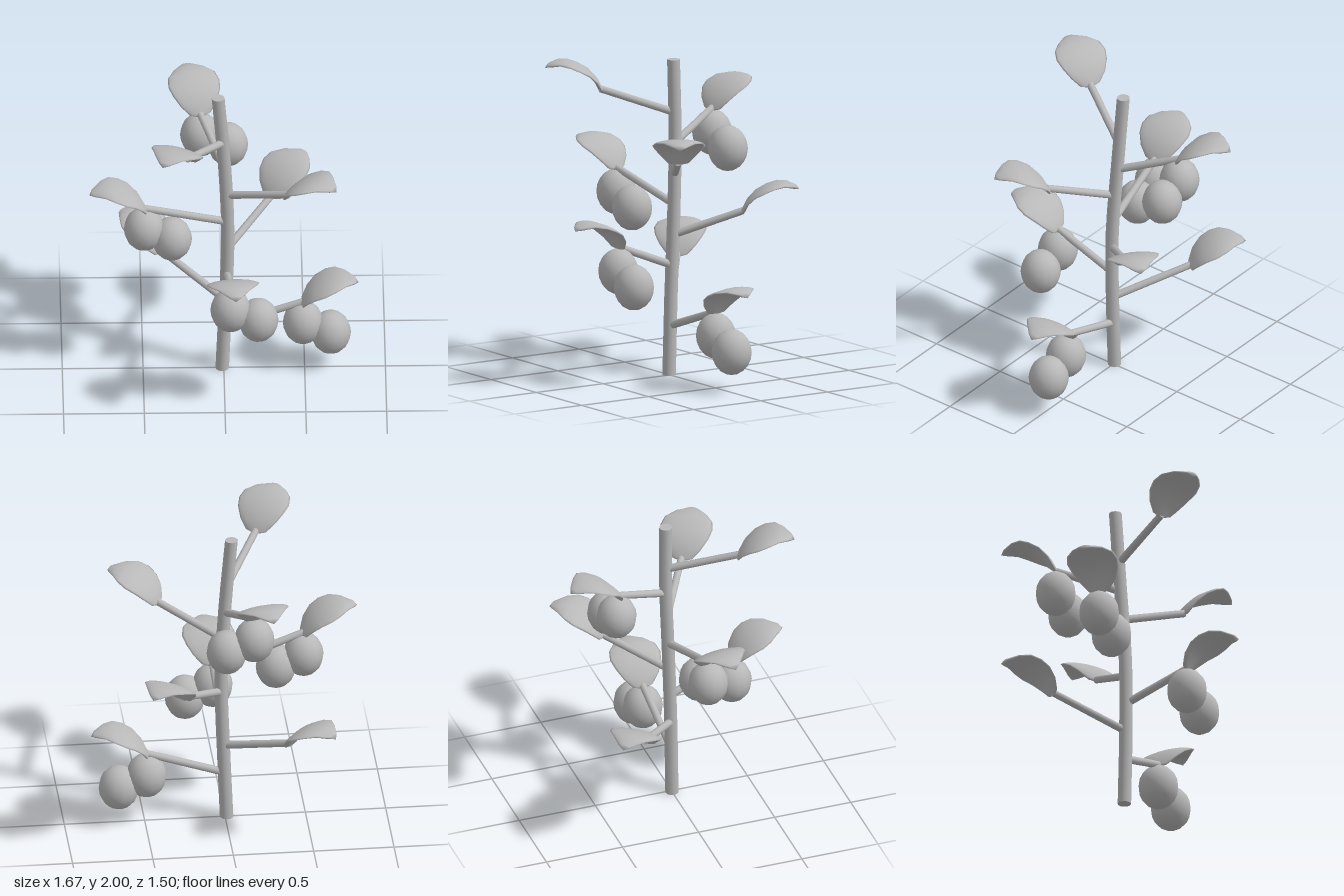
import * as THREE from 'three';
import { mergeVertices } from 'three/addons/utils/BufferGeometryUtils.js';

const grey = new THREE.MeshStandardMaterial({ color: 0xb8b8b8 });
grey.name = 'plainGrey';

// Gently swaying centre line of the stem
const stemLine = new THREE.CatmullRomCurve3([
  [-0.01, 0, 0], [0.01, 0.5, 0], [0.025, 1, -0.01], [0.005, 1.5, -0.035], [-0.035, 1.98, -0.05],
].map((p) => new THREE.Vector3(...p)));

// Point of the stem line at a height
function stemPoint(y) {
  return stemLine.getPoint(THREE.MathUtils.clamp(y / 1.98, 0, 1));
}

function add(parent, name, geometry) {
  const mesh = new THREE.Mesh(geometry, grey);
  mesh.name = name;
  parent.add(mesh);
  return mesh;
}

// Upright cylinder whose rings follow the stem line
function stemGeometry() {
  const geo = new THREE.CylinderGeometry(0.04, 0.042, 1.98, 12, 12);
  const pos = geo.attributes.position;
  for (let i = 0; i < pos.count; i++) {
    const y = pos.getY(i) + 0.99;
    const c = stemPoint(y);
    pos.setXYZ(i, pos.getX(i) + c.x, y, pos.getZ(i) + c.z);
  }
  return geo;
}

// Leaf sections from base to tip: distance out, height, half width
const leafSections = [
  [-0.01, -0.02, 0], [0, 0, 0.065], [0.03, 0.06, 0.115], [0.08, 0.115, 0.15], [0.14, 0.15, 0.165],
  [0.2, 0.172, 0.15], [0.26, 0.174, 0.1], [0.32, 0.155, 0.04], [0.345, 0.14, 0],
];

// Sphere rows reshaped into an arched, slightly domed leaf
function leafGeometry() {
  const rows = leafSections.length - 1;
  let geo = new THREE.SphereGeometry(1, 16, rows);
  const pos = geo.attributes.position;
  for (let i = 0; i < pos.count; i++) {
    const k = Math.floor(i / 17);
    const [u, y, w] = leafSections[k];
    const a = leafSections[Math.max(k - 1, 0)];
    const b = leafSections[Math.min(k + 1, rows)];
    const len = Math.hypot(b[0] - a[0], b[1] - a[1]);
    const s = Math.sin((k / rows) * Math.PI);
    const end = k === 0 || k === rows;
    const across = end ? 0 : (pos.getZ(i) / s) * w;
    const thick = end ? 0 : (pos.getX(i) / s) * 0.014;
    const droop = 0.015 * (across / 0.165) ** 2;
    pos.setXYZ(i, u - ((b[1] - a[1]) / len) * thick, y + ((b[0] - a[0]) / len) * thick - droop, across);
  }
  geo.deleteAttribute('uv');
  geo.deleteAttribute('normal');
  geo = mergeVertices(geo, 1e-5);
  geo.computeVertexNormals();
  return geo;
}

// Straight twig between two points
function addTwig(parent, from, to) {
  const dir = to.clone().sub(from);
  const twig = add(parent, 'twig', new THREE.CylinderGeometry(0.023, 0.025, dir.length(), 10));
  twig.position.copy(from).add(to).multiplyScalar(0.5);
  twig.quaternion.setFromUnitVectors(new THREE.Vector3(0, 1, 0), dir.normalize());
}

export function createModel() {
  const plant = new THREE.Group();
  plant.name = 'fruitingPlant';
  add(plant, 'stem', stemGeometry());

  const leafGeo = leafGeometry();
  const fruitGeo = new THREE.SphereGeometry(1, 14, 10).scale(0.125, 0.143, 0.125);

  // Twig ends (x, z), spiralling upward
  const ends = [
    [0.49, -0.012], [-0.38, -0.31], [0.035, 0.41], [0.3, -0.345],
    [-0.495, 0.065], [0.4, 0.21], [-0.14, -0.41], [-0.23, 0.365],
  ];
  ends.forEach(([x, z], i) => {
    const branch = new THREE.Group();
    branch.name = 'branch' + (i + 1);
    plant.add(branch);

    const base = 0.31 + 0.19 * i;
    const end = new THREE.Vector3(x, base + 0.168, z);
    addTwig(branch, stemPoint(base), end);

    const leaf = add(branch, 'leaf', leafGeo);
    leaf.position.copy(end);
    leaf.rotation.y = THREE.MathUtils.degToRad(137.5 * i);

    // Every second branch carries a pair of fruits
    if (i % 2 === 0) {
      [[0, -0.152], [0.172, -0.227]].forEach(([dx, dy]) => {
        add(branch, 'fruit', fruitGeo).position.set(x + dx, end.y + dy, z);
      });
    }
  });
  return plant;
}
